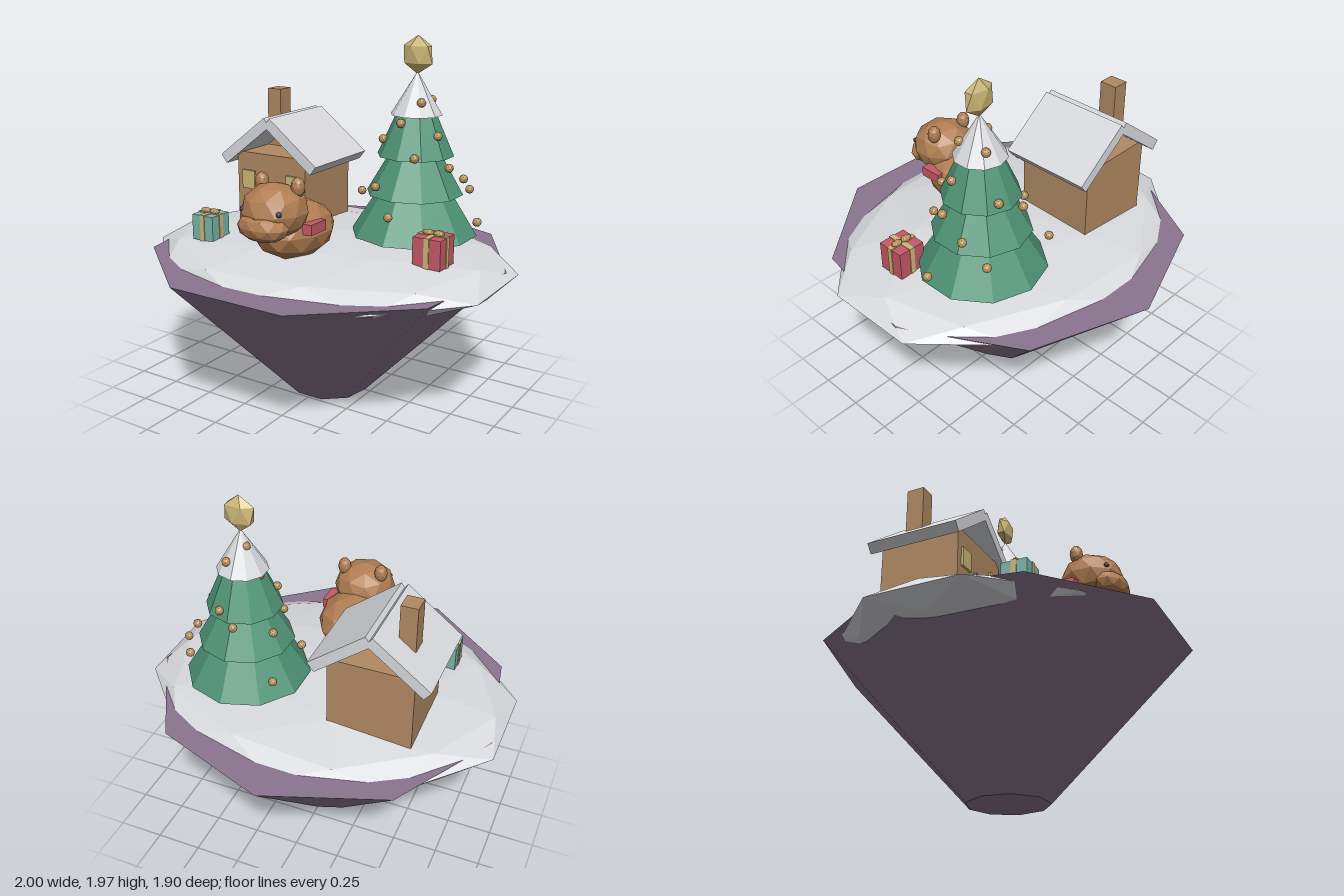
import * as THREE from 'three';

const mat = (name, color) => {
  const m = new THREE.MeshStandardMaterial({ color, flatShading: true });
  m.name = name;
  return m;
};

export function createModel() {
  const snow = mat('snow', 0xd9dade), rock = mat('purple rock', 0x8a7690);
  const wood = mat('house wood', 0xb08962), fur = mat('brown fur', 0xb07d52);
  const green = mat('tree green', 0x4f9477), gold = mat('pale gold', 0xcdb878);
  const bauble = mat('bauble bronze', 0xb8935a), red = mat('red', 0xc65a68);
  const teal = mat('teal', 0x7cb5a8), dark = mat('dark eye', 0x4a4258);

  const model = new THREE.Group();
  model.name = 'snowyIsland';

  const group = (name) => {
    const g = new THREE.Group();
    g.name = name;
    model.add(g);
    return g;
  };
  const add = (parent, name, geo, material, x, y, z) => {
    const m = new THREE.Mesh(geo, material);
    m.name = name;
    m.position.set(x, y, z);
    parent.add(m);
    return m;
  };
  const box = (p, name, material, [w, h, d], [x, y, z]) =>
    add(p, name, new THREE.BoxGeometry(w, h, d), material, x, y, z);

  // Faceted ball with a vertex at each pole, scaled to an ellipsoid
  const ball = (p, name, material, [rx, ry, rz], [x, y, z], detail = 1) => {
    const geo = new THREE.IcosahedronGeometry(1, detail);
    geo.rotateX(-Math.atan((1 + Math.sqrt(5)) / 2));
    geo.rotateY(-Math.PI / 2);
    geo.scale(rx, ry, rz);
    return add(p, name, geo, material, x, y, z);
  };

  // Floating island
  const island = group('island');
  add(island, 'rockBase', new THREE.CylinderGeometry(0.982, 0.22, 0.8, 9, 1, false, Math.PI),
    rock, 0, 0.4, 0.027);
  ball(island, 'snowCap', snow, [1.05, 0.15, 0.83], [0, 0.77, 0.027]);

  // House
  const house = group('house');
  const hx = -0.38, hz = -0.18;
  box(house, 'walls', wood, [0.46, 0.45, 0.45], [hx, 1.065, hz]);
  box(house, 'chimney', wood, [0.09, 0.4, 0.1], [-0.525, 1.42, -0.245]);
  for (const s of [-1, 1]) {
    const roof = box(house, 'roofPanel', snow, [0.385, 0.06, 0.52], [hx + s * 0.152, 1.36, hz]);
    roof.rotation.z = -s * 0.66;
    box(house, 'window', gold, [0.085, 0.105, 0.02], [hx + s * 0.15, 1.135, 0.048]);
  }
  box(house, 'door', rock, [0.125, 0.22, 0.03], [hx, 0.99, 0.05]);

  // Tree
  const tree = group('tree');
  const tx = 0.405, tz = -0.185;
  add(tree, 'trunk', new THREE.CylinderGeometry(0.06, 0.06, 0.12, 8), wood, tx, 0.91, tz);
  const tiers = [
    // bottom radius, top radius, bottom y, top y
    [0.34, 0.19, 0.92, 1.16],
    [0.26, 0.13, 1.14, 1.365],
    [0.205, 0.1, 1.345, 1.58],
    [0.137, 0, 1.56, 1.785],
  ];
  tiers.forEach(([rb, rt, y0, y1], i) => {
    add(tree, i < 3 ? 'branches' : 'snowyTip', new THREE.CylinderGeometry(rt, rb, y1 - y0, 10),
      i < 3 ? green : snow, tx, (y0 + y1) / 2, tz);
  });
  ball(tree, 'topper', gold, [0.093, 0.1, 0.043], [tx, 1.87, tz], 0);

  // Baubles
  const baubles = [
    [0.775, 1.03, -0.18], [0.43, 1.08, 0.15], [0.15, 1.06, -0.41], [0.615, 1.13, -0.43],
    [0.11, 1.12, -0.13], [0.29, 1.2, 0.04], [0.64, 1.22, -0.29], [0.625, 1.305, -0.14],
    [0.2, 1.27, -0.28], [0.355, 1.35, -0.42], [0.495, 1.365, 0], [0.26, 1.43, -0.09],
    [0.555, 1.465, -0.14], [0.46, 1.39, -0.36], [0.385, 1.53, -0.05], [0.3, 1.55, -0.2],
    [0.47, 1.635, -0.11], [0.37, 1.7, -0.2], [0.45, 1.63, -0.27],
  ];
  for (const p of baubles) ball(tree, 'bauble', bauble, [0.024, 0.024, 0.024], p);

  // Gifts with crossed ribbons and a bow
  const gift = (material, s, x, y, z) => {
    const g = group('gift');
    g.position.set(x, y, z);
    box(g, 'giftBox', material, [s, s, s], [0, 0, 0]);
    box(g, 'ribbon', gold, [s + 0.008, s + 0.008, 0.028], [0, 0, 0]);
    box(g, 'ribbon', gold, [0.028, s + 0.008, s + 0.008], [0, 0, 0]);
    for (const k of [-1, 1])
      ball(g, 'bowLoop', bauble, [0.032, 0.016, 0.02], [k * 0.03, s / 2 + 0.012, 0]);
  };
  gift(teal, 0.14, -0.56, 0.935, 0.363);
  gift(red, 0.155, 0.678, 0.945, 0.125);

  // Animal
  const animal = group('animal');
  ball(animal, 'body', fur, [0.195, 0.155, 0.25], [0, 1.015, 0.365]);
  ball(animal, 'head', fur, [0.175, 0.145, 0.17], [0, 1.145, 0.53]);
  ball(animal, 'muzzle', fur, [0.145, 0.08, 0.095], [0, 1.085, 0.63]);
  box(animal, 'scarf', red, [0.395, 0.055, 0.13], [0, 1.062, 0.435]);
  for (const s of [-1, 1]) {
    ball(animal, 'ear', fur, [0.038, 0.052, 0.036], [s * 0.11, 1.268, 0.485]);
    ball(animal, 'eye', dark, [0.015, 0.015, 0.015], [s * 0.11, 1.165, 0.648]);
  }

  return model;
}
